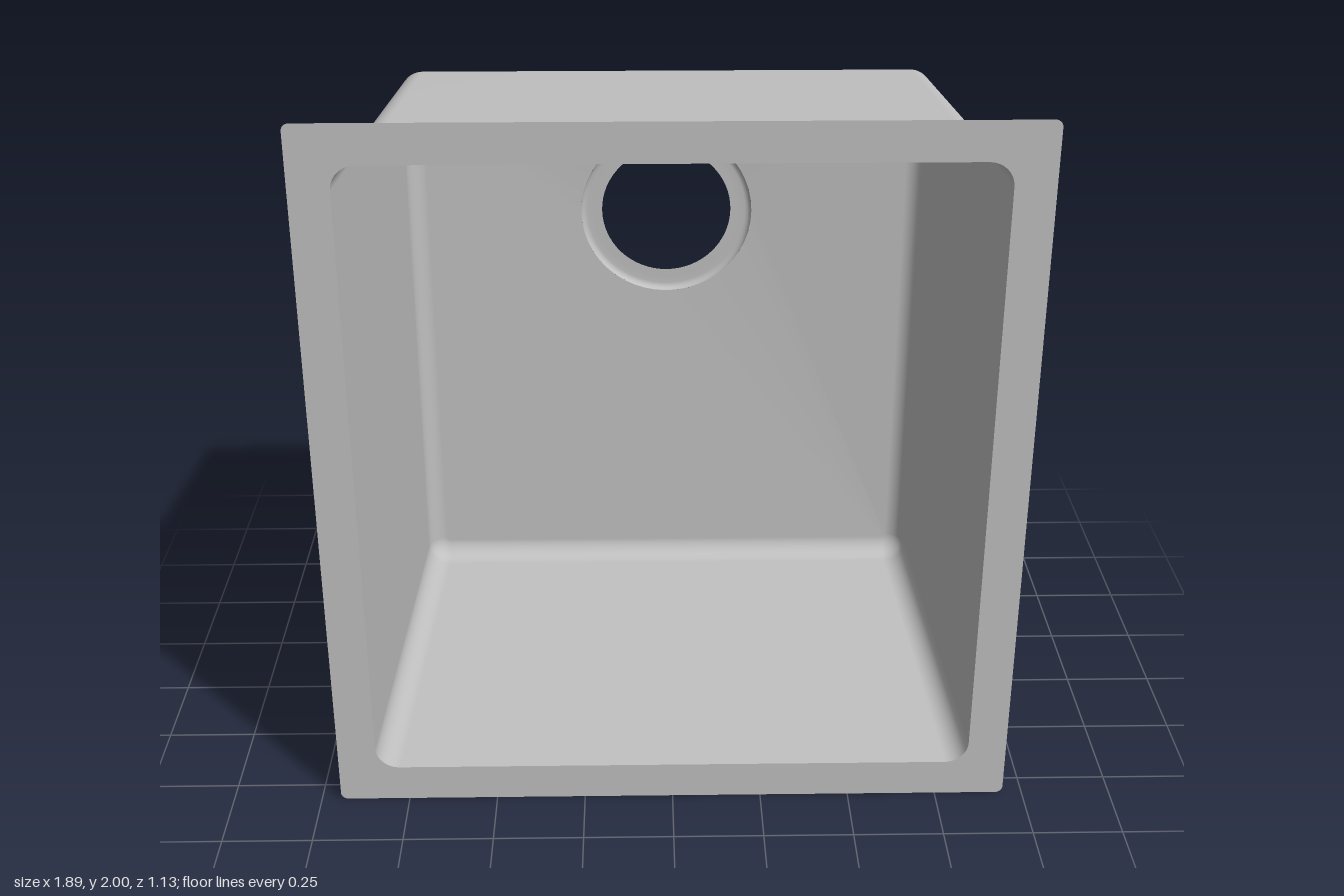
import * as THREE from 'three';
import { mergeVertices } from 'three/addons/utils/BufferGeometryUtils.js';

const STEPS = 12; // segments per rounded corner
const CENTER_Y = 1;
const FRONT_Z = 0.565;
const DRAIN = { y: 1.365, r: 0.262, z: -0.547 };

// Rounded rectangle as four corner arcs, counter-clockwise
function rectLoop(hw, hh, r, z) {
  const pts = [];
  for (let c = 0; c < 4; c++) {
    const sx = c === 0 || c === 3 ? 1 : -1;
    const sy = c < 2 ? 1 : -1;
    for (let i = 0; i <= STEPS; i++) {
      const a = (c + i / STEPS) * Math.PI / 2;
      pts.push(new THREE.Vector3(
        sx * (hw - r) + r * Math.cos(a),
        CENTER_Y + sy * (hh - r) + r * Math.sin(a), z));
    }
  }
  return pts;
}

// Circle with one quarter arc for each rectangle corner
function circleLoop() {
  const pts = [];
  for (let c = 0; c < 4; c++) {
    for (let i = 0; i <= STEPS; i++) {
      const a = (c + i / STEPS) * Math.PI / 2;
      pts.push(new THREE.Vector3(DRAIN.r * Math.cos(a), DRAIN.y + DRAIN.r * Math.sin(a), DRAIN.z));
    }
  }
  return pts;
}

// Skin consecutive loops into one smooth surface
function skin(loops) {
  const n = loops[0].length;
  const index = [];
  for (let l = 0; l < loops.length - 1; l++) {
    for (let i = 0; i < n; i++) {
      const a = l * n + i, b = l * n + (i + 1) % n;
      index.push(a, a + n, b, b, a + n, b + n);
    }
  }
  let geo = new THREE.BufferGeometry().setFromPoints(loops.flat());
  geo.setIndex(index);
  geo = mergeVertices(geo, 1e-5);
  geo.computeVertexNormals();
  return geo;
}

export function createModel() {
  const group = new THREE.Group();
  const steel = new THREE.MeshStandardMaterial({ color: 0xc0c0c0, side: THREE.DoubleSide });
  steel.name = 'steel';
  const add = (name, geo) => {
    const mesh = new THREE.Mesh(geo, steel);
    mesh.name = name;
    group.add(mesh);
    return mesh;
  };

  // Flat mounting flange around the opening
  const opening = rectLoop(0.838, 0.893, 0.065, FRONT_Z);
  const toPlane = (loop) => loop.map((p) => new THREE.Vector2(p.x, p.y));
  const rim = new THREE.Shape(toPlane(rectLoop(0.945, 1, 0.02, 0)));
  rim.holes.push(new THREE.Path(toPlane(opening)));
  add('flange', new THREE.ShapeGeometry(rim)).position.z = FRONT_Z;

  // Tapered walls, rounded floor edge and floor sloping to the drain
  const loops = [opening];
  const fillet = 0.06;
  for (let i = 0; i <= 8; i++) {
    const a = i / 8 * Math.PI * 0.48;
    const inset = fillet * (1 - Math.cos(a));
    loops.push(rectLoop(0.782 - inset, 0.832 - inset, 0.066 - inset, -0.46 - fillet * Math.sin(a)));
  }
  loops.push(circleLoop());
  add('bowl', skin(loops));

  // Recessed drain seat with a rounded outer edge and open centre
  const profile = [
    [DRAIN.r, -DRAIN.z], [0.261, 0.553], [0.257, 0.559], [0.251, 0.563],
    [0.243, 0.565], [0.22, 0.565], [0.198, 0.565],
  ].map(([r, d]) => new THREE.Vector2(r, d));
  const seat = new THREE.LatheGeometry(profile, 64);
  seat.rotateX(-Math.PI / 2);
  add('drainSeat', seat).position.y = DRAIN.y;

  return group;
}
